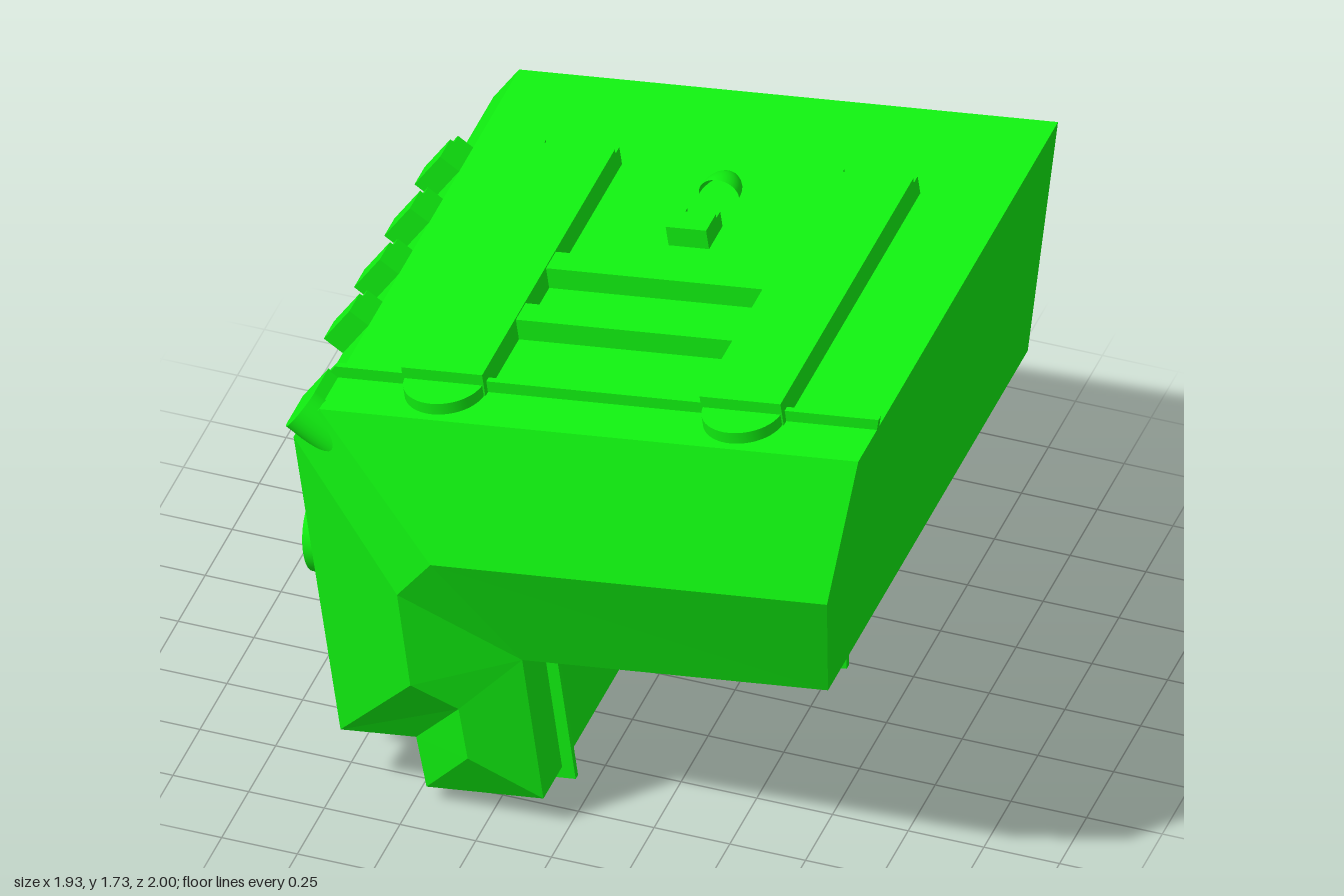
import * as THREE from 'three';

const material = new THREE.MeshStandardMaterial({ color: 0x10f010, flatShading: true, side: THREE.DoubleSide });
const smooth = new THREE.MeshStandardMaterial({ color: 0x10f010, side: THREE.DoubleSide });

// Shell cross-section, clockwise seen from the front
const profile = [
  [0.96, 1.69], [0.86, 0.77], [-0.15, 0.63], [-0.08, 0.106], [-0.466, 0.054],
  [-0.50, 0.24], [-0.75, 0.205], [-0.905, 1.31], [-0.82, 1.44],
];
// Raised ridge of the faceted nose
const ridge = [
  [0.91, 1.225, 1], [-0.40, 1.045, 1], [-0.51, 0.90, 1],
  [-0.466, 0.557, 1], [-0.33, 0.453, 0.935], [-0.30, 0.267, 0.935],
];
const BACK = -1, FRONT = 0.85;

function mesh(parent, name, geometry, mat = material) {
  const m = new THREE.Mesh(geometry, mat);
  m.name = name;
  parent.add(m);
  return m;
}

// Flat-faced geometry from convex polygons
function facets(polygons) {
  const positions = [];
  for (const p of polygons) {
    for (let i = 1; i < p.length - 1; i++) positions.push(...p[0], ...p[i], ...p[i + 1]);
  }
  const g = new THREE.BufferGeometry();
  g.setAttribute('position', new THREE.Float32BufferAttribute(positions, 3));
  g.computeVertexNormals();
  return g;
}

// Box given by its ranges
function box(parent, name, x0, x1, y0, y1, z0, z1) {
  const m = mesh(parent, name, new THREE.BoxGeometry(x1 - x0, y1 - y0, z1 - z0));
  m.position.set((x0 + x1) / 2, (y0 + y1) / 2, (z0 + z1) / 2);
  return m;
}

// Local frame on a shell wall: x along the wall, y outward, z lengthwise
function panel(parent, name, from, to) {
  const g = new THREE.Group();
  g.name = name;
  g.position.set(from[0], from[1], 0);
  g.rotation.z = Math.atan2(to[1] - from[1], to[0] - from[0]);
  parent.add(g);
  return g;
}

// Block with two prongs at its rear corners
function clip(parent, name, x, width, height, z0, z1, prong = 0.025) {
  const g = new THREE.Group();
  g.name = name;
  parent.add(g);
  box(g, 'body', x - width / 2, x + width / 2, -0.01, height, z0, z1);
  for (const s of [-1, 1]) {
    const px = x + s * (width / 2 - prong / 2);
    box(g, 'prong', px - prong / 2, px + prong / 2, -0.01, height * 0.8, z0 - 0.035, z0);
  }
}

// Half disc facing forward, standing on a wall
function roundEnd(parent, x, z, radius, y0, y1) {
  const g = new THREE.CylinderGeometry(radius, radius, y1 - y0, 24, 1, false, -Math.PI / 2, Math.PI);
  mesh(parent, 'roundedEnd', g, smooth).position.set(x, (y0 + y1) / 2, z);
}

export function createModel() {
  const model = new THREE.Group();
  model.name = 'casing';

  // Open-backed shell walls
  const front = profile.map(([x, y]) => [x, y, FRONT]);
  const back = profile.map(([x, y]) => [x, y, BACK]);
  const walls = profile.map((_, i) => {
    const j = (i + 1) % profile.length;
    return [front[i], front[j], back[j], back[i]];
  });
  const [A, B, C, D, E, F, G, H, I] = front;
  const [r0, r1, r2, r3, r4, r5] = ridge;
  walls.push([A, r0, B]);
  mesh(model, 'shellWalls', facets(walls));

  // Faceted nose
  mesh(model, 'nose', facets([
    [I, r1, r0, A], [r1, C, B, r0], [I, r2, r1], [H, r2, I], [H, G, r3, r2],
    [G, F, r4, r3], [F, E, r5, r4], [E, D, r5], [D, C, r4, r5],
    [C, r1, r2], [C, r2, r3], [C, r3, r4],
  ]));

  // Thin flange around the shell, open at the end wall
  const outer = [
    [0.965, 1.73], [-0.83, 1.48], [-0.945, 1.31], [-0.78, 0.155], [-0.53, 0.19],
    [-0.50, 0.005], [-0.035, 0.07], [-0.105, 0.59], [0.86, 0.73],
  ];
  const inner = [...profile.slice(1), profile[0]];
  const outline = [...outer, ...inner].map(([x, y]) => new THREE.Vector2(x, y));
  const flange = new THREE.ExtrudeGeometry(new THREE.Shape(outline), { depth: 0.022, bevelEnabled: false });
  mesh(model, 'flange', flange).position.z = 0.655;

  // Roof: two rails, cross bars, a clip and a hood
  const roof = panel(model, 'roof', profile[8], profile[0]);
  for (const x of [0.365, 1.36]) {
    clip(roof, 'rail', x, 0.27, 0.08, -0.53, 0.70);
    roundEnd(roof, x, 0.69, 0.13, -0.02, 0.04);
  }
  for (const z of [0.02, 0.30]) box(roof, 'crossBar', 0.5, 1.225, -0.01, 0.075, z, z + 0.09);
  clip(roof, 'roofClip', 0.865, 0.135, 0.07, -0.26, -0.17);
  const hood = mesh(roof, 'hood',
    new THREE.SphereGeometry(1, 16, 8, Math.PI, Math.PI, 0, Math.PI / 2), smooth);
  hood.scale.set(0.067, 0.06, 0.11);
  hood.position.set(0.865, 0, -0.45);

  // Chamfer: four clips and a rounded boss
  const chamfer = panel(model, 'chamfer', profile[7], profile[8]);
  for (let i = 0; i < 4; i++) {
    const z = -0.54 + i * 0.28;
    clip(chamfer, 'chamferClip', 0.078, 0.155, 0.075, z, z + 0.095);
  }
  box(chamfer, 'boss', 0, 0.155, -0.01, 0.04, 0.67, 0.80);
  roundEnd(chamfer, 0.078, 0.80, 0.08, -0.16, 0.04);

  // Side wall: three clips and a rounded end
  const side = panel(model, 'side', profile[6], profile[7]);
  for (let i = 0; i < 3; i++) {
    const z = -0.23 + i * 0.285;
    clip(side, 'sideClip', 0.645, 0.26, 0.075, z, z + 0.09, 0.06);
  }
  roundEnd(side, 0.645, 0.69, 0.13, -0.02, 0.045);

  return model;
}
